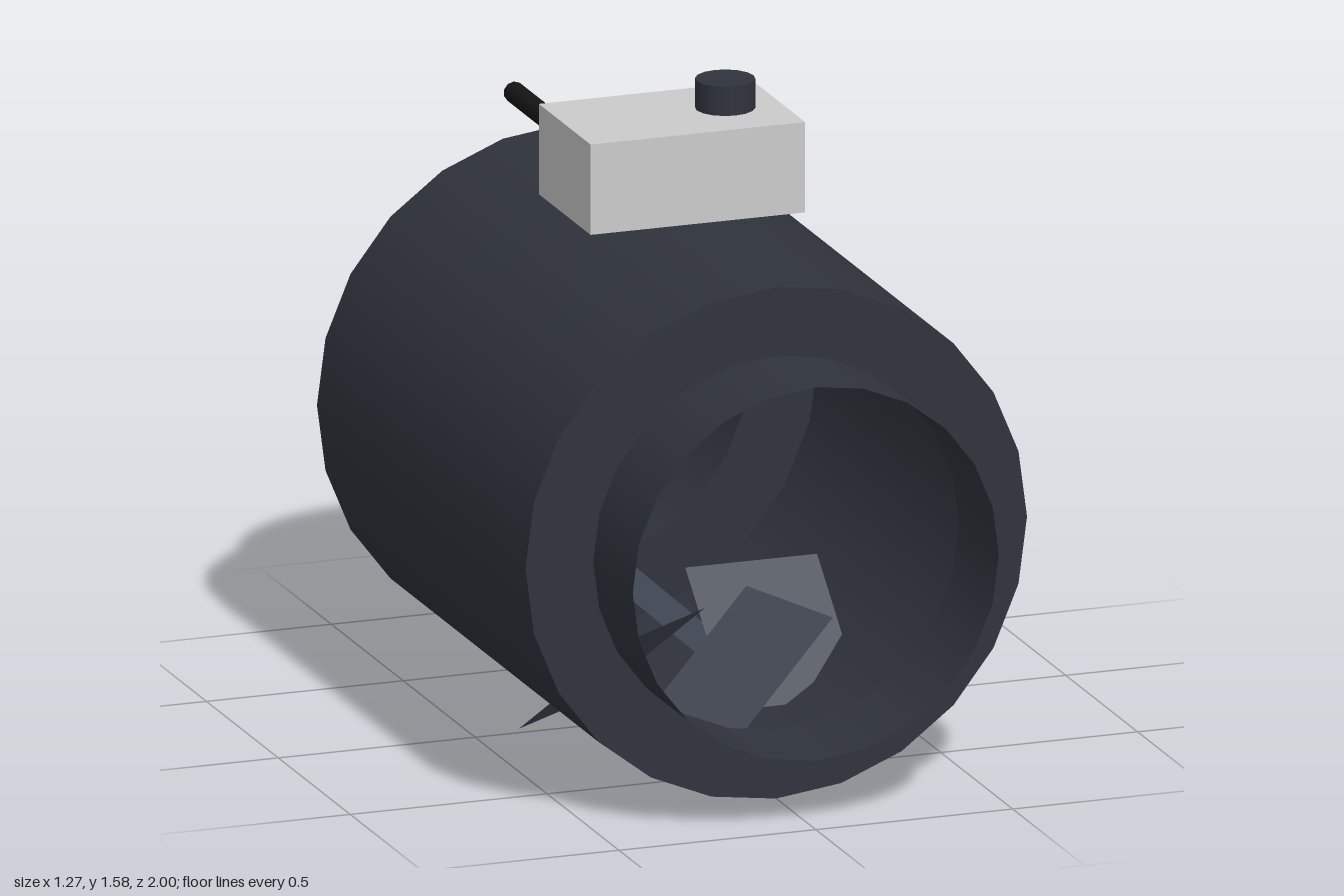
import * as THREE from 'three';

const CENTRE_Y = 0.638;
const material = (color) => new THREE.MeshStandardMaterial({ color, side: THREE.DoubleSide });

const casingMat = material(0x2f333c);
const bladeMat = material(0x434955);
const hubMat = material(0x8a929c);
const boxMat = material(0xcccccc);
const cableMat = material(0x151515);

function add(parent, name, geometry, mat, x = 0, y = 0, z = 0) {
  const mesh = new THREE.Mesh(geometry, mat);
  mesh.name = name;
  mesh.position.set(x, y, z);
  parent.add(mesh);
  return mesh;
}

// Cylinder lying along z
const tube = (radius, length, sides, open) =>
  new THREE.CylinderGeometry(radius, radius, length, sides, 1, open).rotateX(Math.PI / 2);

export function createModel() {
  const model = new THREE.Group();
  model.name = 'ductFan';

  // Hollow casing with a narrower duct port at each end
  const casing = new THREE.Group();
  casing.name = 'casing';
  casing.position.y = CENTRE_Y;
  model.add(casing);
  add(casing, 'casingShell', tube(0.637, 1.45, 24, true), casingMat);
  for (const side of [1, -1]) {
    const end = side > 0 ? 'front' : 'back';
    add(casing, end + 'Port', tube(0.465, 0.275, 24, true), casingMat, 0, 0, side * 0.8625);
    const plate = add(casing, end + 'EndPlate', new THREE.RingGeometry(0.465, 0.637, 24), casingMat, 0, 0, side * 0.725);
    if (side < 0) plate.rotation.y = Math.PI;
  }

  // Motor on the duct axis
  add(model, 'motor', tube(0.09, 0.5, 12, false), hubMat, 0, CENTRE_Y, -0.45);

  // Five pitched, paper-thin blades low in the casing
  const impeller = new THREE.Group();
  impeller.name = 'impeller';
  impeller.position.y = 0.185;
  model.add(impeller);
  const blade = new THREE.PlaneGeometry(0.335, 0.41).rotateX(-0.855).translate(0.2575, 0, 0);
  for (let i = 0; i < 5; i++) {
    add(impeller, 'blade', blade, bladeMat).rotation.y = (i * Math.PI * 2) / 5;
  }

  // Control box with knob and cable on top
  add(model, 'controlBox', new THREE.BoxGeometry(0.545, 0.225, 0.36), boxMat, 0, 1.392, 0);
  add(model, 'knob', new THREE.CylinderGeometry(0.072, 0.072, 0.073, 16), casingMat, 0.135, 1.541, 0);
  add(model, 'cable', tube(0.026, 0.545, 10, false), cableMat, -0.137, 1.367, -0.4525);

  return model;
}
